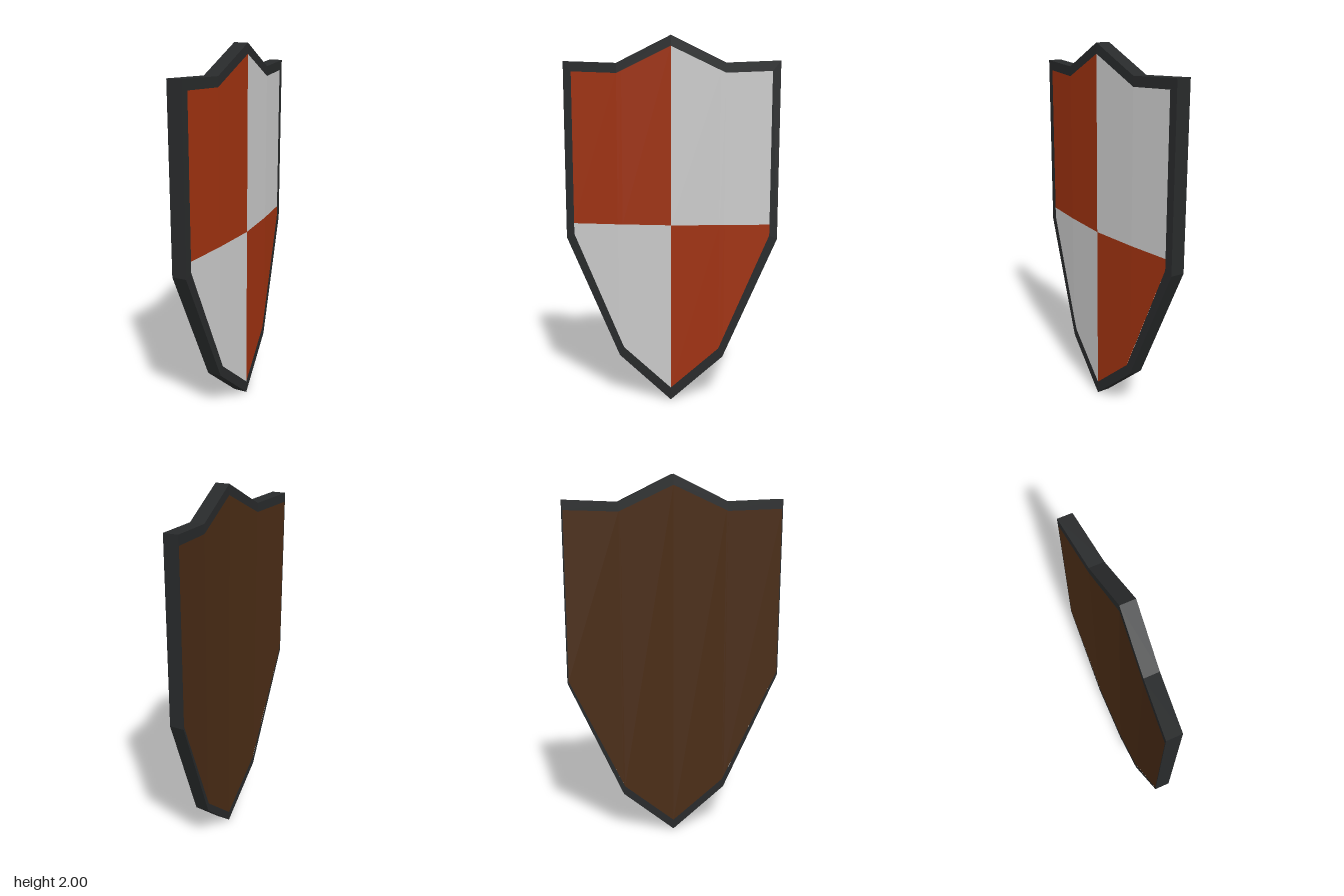
import * as THREE from 'three';

const THICK = 0.077;

// Half outlines as [z, y]: top edge from centre outward, then bottom edge from outside to centre
const OUTER = { top: [[0, 2], [0.29, 1.86], [0.578, 1.872]], bottom: [[0.578, 0.92], [0.287, 0.255], [0, 0.005]] };
const FRONT = { top: [[0, 1.945], [0.29, 1.808], [0.535, 1.818]], bottom: [[0.535, 0.94], [0.263, 0.302], [0, 0.075]] };
const BACK = { top: [[0, 1.945], [0.29, 1.812], [0.573, 1.822]], bottom: [[0.573, 0.935], [0.28, 0.3], [0, 0.06]] };

// Piecewise linear lookup
function lerpTable(points, t) {
  const p = [...points].sort((a, b) => a[0] - b[0]);
  for (let i = 1; i < p.length; i++) {
    if (t <= p[i][0] || i === p.length - 1) {
      const k = (t - p[i - 1][0]) / (p[i][0] - p[i - 1][0]);
      return p[i - 1][1] + k * (p[i][1] - p[i - 1][1]);
    }
  }
}

// Bowed face: the board folds back in facets away from its centre line
const faceX = z => lerpTable([[0, 0.065], [0.29, 0.045], [0.578, 0.012]], Math.abs(z));
const frontPoint = ([z, y]) => [faceX(z), y, z];
const backPoint = ([z, y]) => [faceX(z) - THICK, y, z];

function quadMesh(name, quads, color) {
  const pos = [];
  for (const [a, b, c, d] of quads) pos.push(...a, ...b, ...c, ...a, ...c, ...d);
  const geo = new THREE.BufferGeometry();
  geo.setAttribute('position', new THREE.Float32BufferAttribute(pos, 3));
  geo.computeVertexNormals();
  const mesh = new THREE.Mesh(geo, new THREE.MeshStandardMaterial({ color, flatShading: true }));
  mesh.name = name;
  return mesh;
}

// Closed loop of a mirrored half outline
function loop(o) {
  const half = [...o.top, ...o.bottom];
  const mirrored = half.slice(1, -1).reverse().map(([z, y]) => [-z, y]);
  return [...half, ...mirrored];
}

// Panel filled in vertical columns on one side of the centre, limited to a height range
function panel(name, outline, side, yMin, yMax, place, color, flip) {
  const zs = [...new Set([...outline.top, ...outline.bottom].map(p => p[0]))].sort((a, b) => a - b);
  const low = z => [side * z, Math.max(yMin, lerpTable(outline.bottom, z))];
  const high = z => [side * z, Math.min(yMax, lerpTable(outline.top, z))];
  const quads = [];
  for (let i = 1; i < zs.length; i++) {
    const q = [low(zs[i]), low(zs[i - 1]), high(zs[i - 1]), high(zs[i])].map(place);
    quads.push((side < 0) !== flip ? q.reverse() : q);
  }
  return quadMesh(name, quads, color);
}

export function createModel() {
  const shield = new THREE.Group();
  shield.name = 'shield';

  // Rim: rectangular section carried around the outline
  const rings = [
    loop(BACK).map(backPoint), loop(OUTER).map(backPoint),
    loop(OUTER).map(frontPoint), loop(FRONT).map(frontPoint),
  ];
  const rimQuads = [];
  for (let r = 0; r < 3; r++) {
    const a = rings[r], b = rings[r + 1];
    for (let i = 0; i < a.length; i++) {
      const j = (i + 1) % a.length;
      rimQuads.push([a[i], a[j], b[j], b[i]]);
    }
  }
  shield.add(quadMesh('rim', rimQuads, 0x282a2b));

  // Quartered front and plain wooden back
  const red = 0xa03210, grey = 0xcccccc, wood = 0x4a2c15;
  for (const side of [1, -1]) {
    const label = side > 0 ? 'Left' : 'Right';
    shield.add(
      panel('upperQuarter' + label, FRONT, side, 1, 2, frontPoint, side > 0 ? red : grey, false),
      panel('lowerQuarter' + label, FRONT, side, 0, 1, frontPoint, side > 0 ? grey : red, false),
      panel('backBoard' + label, BACK, side, 0, 2, backPoint, wood, true),
    );
  }
  return shield;
}
